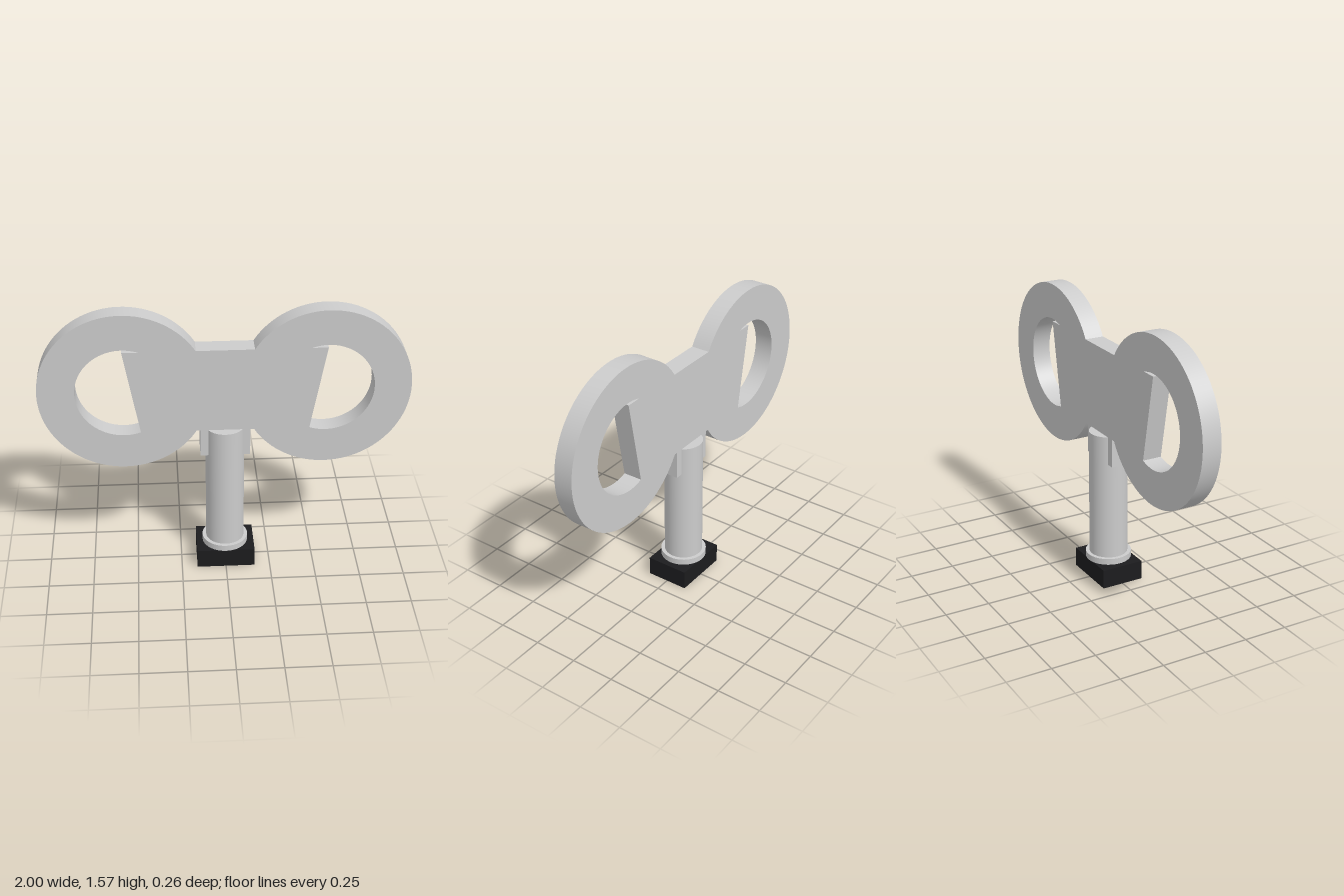
import * as THREE from 'three';
import { toCreasedNormals } from 'three/addons/utils/BufferGeometryUtils.js';

const grey = new THREE.MeshStandardMaterial({ color: 0xcccccc });
const black = new THREE.MeshStandardMaterial({ color: 0x1c1c1e });

const CX = 0.543, CY = 1.111;   // ring centres (mirrored in x)
const R = 0.457, HOLE = 0.257;  // ring outer and inner radius
const HALF = 0.242;             // half height of the centre plate
const DEPTH = 0.107;            // plate thickness

function addPart(group, name, geometry, material, x, y, z) {
  const mesh = new THREE.Mesh(geometry, material);
  mesh.name = name;
  mesh.position.set(x, y, z);
  group.add(mesh);
}

// Two rings fused to a centre plate, with the plate reaching into both holes
function handleGeometry() {
  const a = Math.asin(HALF / R);
  const shape = new THREE.Shape();
  shape.absarc(CX, 0, R, -Math.PI + a, Math.PI - a, false);
  shape.absarc(-CX, 0, R, a, 2 * Math.PI - a, false);
  shape.closePath();

  const b = Math.asin(HALF / HOLE);
  for (const side of [1, -1]) {
    const hole = new THREE.Path();
    hole.moveTo(side * CX, -HALF);
    if (side > 0) hole.absarc(CX, 0, HOLE, -Math.PI + b, Math.PI - b, false);
    else hole.absarc(-CX, 0, HOLE, -b, b, true);
    hole.lineTo(side * CX, HALF);
    hole.closePath();
    shape.holes.push(hole);
  }
  const geometry = new THREE.ExtrudeGeometry(shape, { depth: DEPTH, bevelEnabled: false, curveSegments: 40 });
  return toCreasedNormals(geometry, 0.5);
}

export function createModel() {
  const model = new THREE.Group();
  model.name = 'windUpKey';

  addPart(model, 'handle', handleGeometry(), grey, 0, CY, -DEPTH / 2);

  // Shaft with a collar, standing on the foot block
  addPart(model, 'shaft', new THREE.CylinderGeometry(0.107, 0.107, 0.76, 48), grey, 0, 0.489, 0);
  addPart(model, 'collar', new THREE.CylinderGeometry(0.128, 0.128, 0.035, 48), grey, 0, 0.1275, 0);
  addPart(model, 'foot', new THREE.BoxGeometry(0.325, 0.11, 0.244), black, 0, 0.055, 0);

  // Tongue of the handle passing through the shaft
  addPart(model, 'tongue', new THREE.BoxGeometry(0.272, 0.16, DEPTH), grey, 0, 0.789, 0);

  return model;
}
